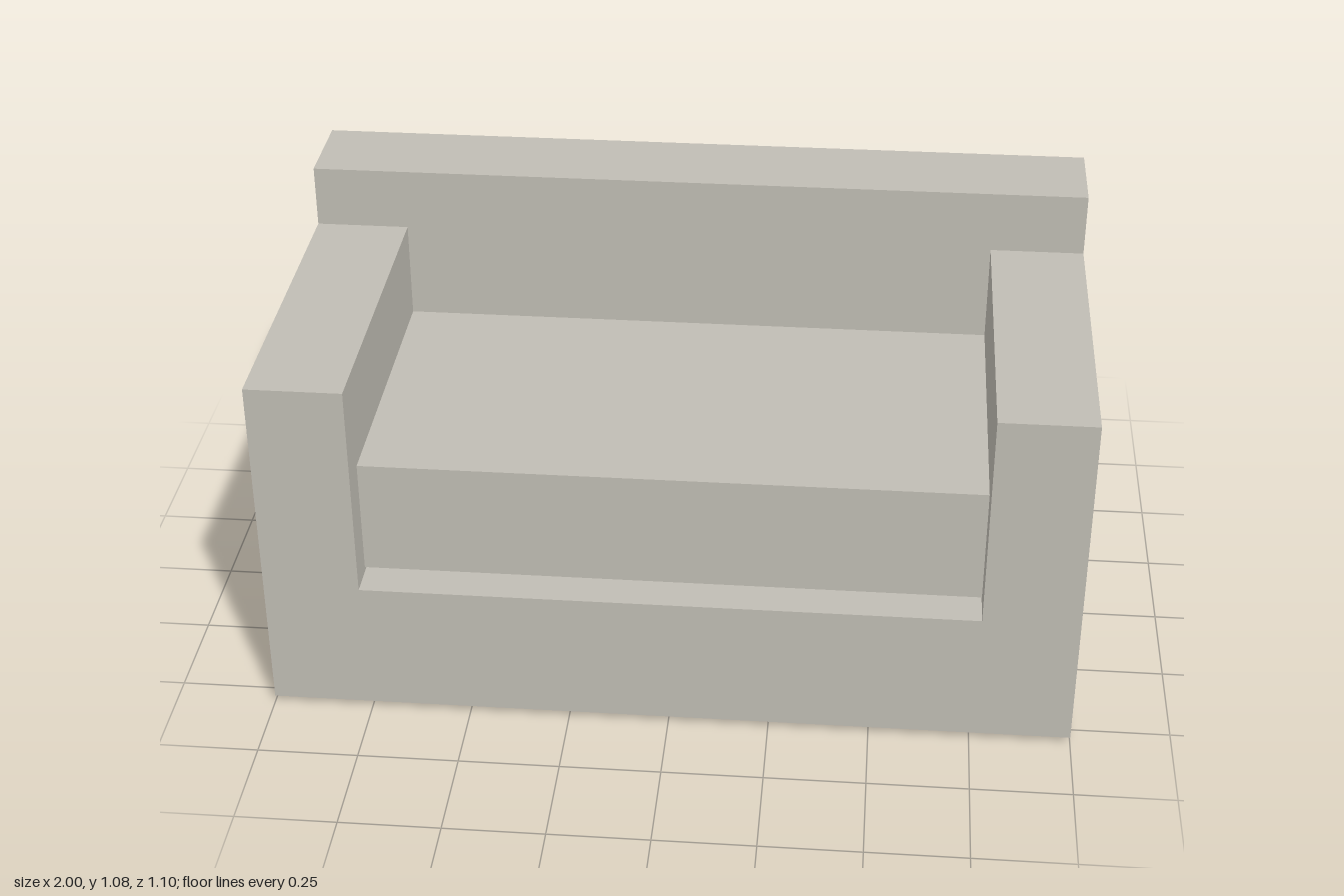
import * as THREE from 'three';

export function createModel() {
  const model = new THREE.Group();
  model.name = 'sofa';
  const fabric = new THREE.MeshStandardMaterial({ color: 0xc0bdb4 });
  fabric.name = 'warm grey fabric';

  const add = (name, geometry, x = 0, y = 0, z = 0) => {
    const mesh = new THREE.Mesh(geometry, fabric);
    mesh.name = name;
    mesh.position.set(x, y, z);
    model.add(mesh);
  };

  // Extrude an x/y outline, given as its +x half, between two depths
  const mirroredExtrude = (half, zBack, zFront) => {
    const left = half.map(([x, y]) => new THREE.Vector2(x, y));
    const right = half.map(([x, y]) => new THREE.Vector2(-x, y)).reverse();
    const geometry = new THREE.ExtrudeGeometry(new THREE.Shape([...left, ...right]), {
      depth: zFront - zBack, bevelEnabled: false,
    });
    return geometry.translate(0, 0, zBack);
  };

  const inner = 0.762, armTop = 0.92, halfDepth = 0.552;
  const backFront = -0.302, backRear = -0.538;

  // U-shaped base with both arms
  add('baseAndArms', mirroredExtrude(
    [[1, 0.016], [1, armTop], [inner, armTop], [inner, 0.358]], -halfDepth, halfDepth));

  // T-shaped backrest resting on the arms, open below
  add('backrest', mirroredExtrude(
    [[inner, 0.467], [inner, armTop], [1, armTop], [1, 1.08]], backRear, backFront));

  // Seat cushion, slightly above the base
  const cushionFront = 0.469;
  add('seatCushion', new THREE.BoxGeometry(inner * 2, 0.298, cushionFront - backFront),
    0, 0.518, (cushionFront + backFront) / 2);

  // Four low square feet, narrowing slightly downwards
  const foot = new THREE.CylinderGeometry(0.0325 * Math.SQRT2, 0.03 * Math.SQRT2, 0.018, 4)
    .rotateY(Math.PI / 4).toNonIndexed();
  foot.computeVertexNormals();
  for (const x of [-0.87, 0.87]) {
    for (const z of [-0.422, 0.422]) add('foot', foot, x, 0.009, z);
  }
  return model;
}
